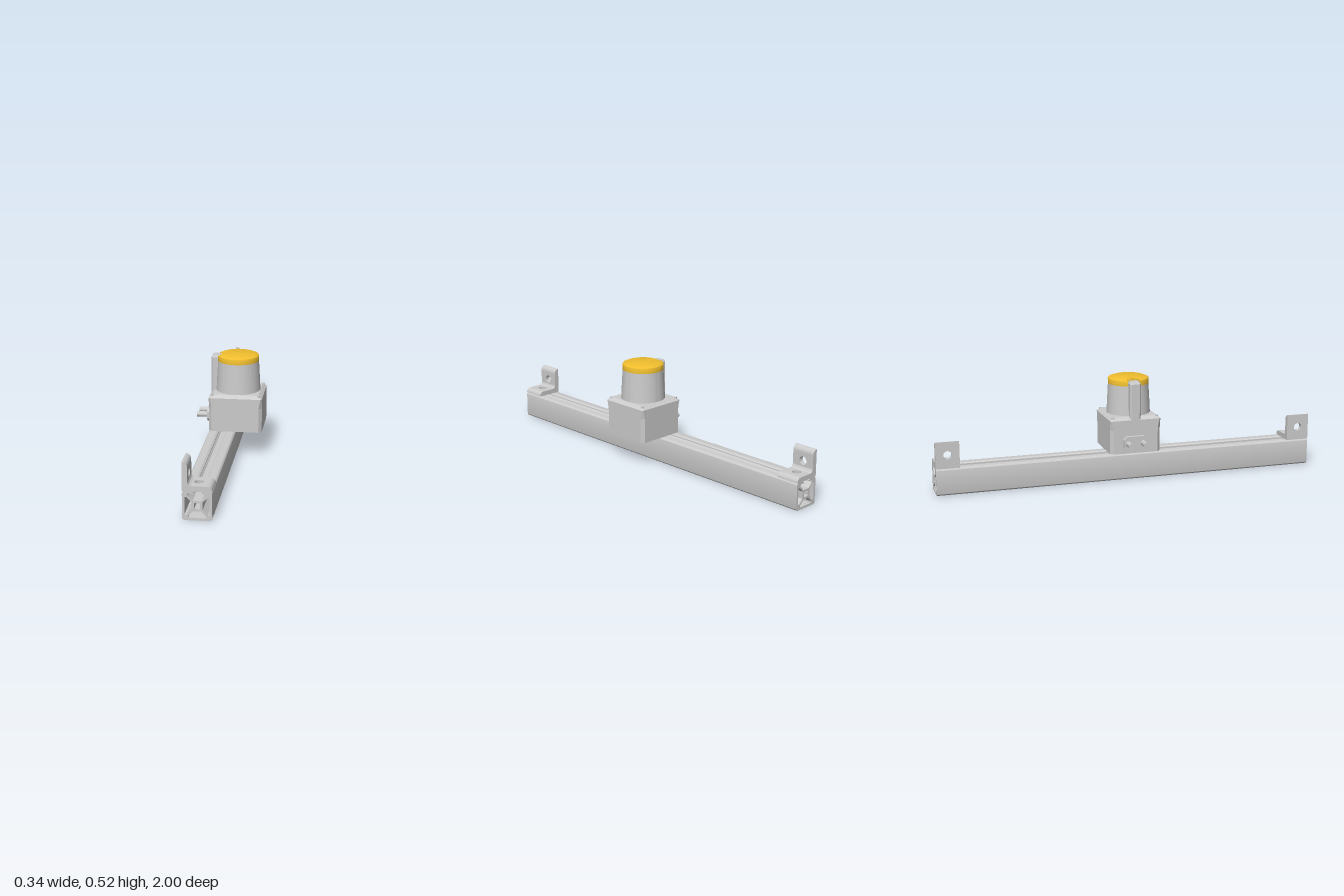
import * as THREE from 'three';
import { toCreasedNormals } from 'three/addons/utils/BufferGeometryUtils.js';

const grey = new THREE.MeshStandardMaterial({ color: 0xcccccc });
const yellow = new THREE.MeshStandardMaterial({ color: 0xf0be2e });

function add(parent, name, geometry, x = 0, y = 0, z = 0, material = grey) {
  const mesh = new THREE.Mesh(geometry, material);
  mesh.name = name;
  mesh.position.set(x, y, z);
  parent.add(mesh);
  return mesh;
}

const polygon = (pts) => new THREE.Shape(pts.map(([x, y]) => new THREE.Vector2(x, y)));

const extrude = (shape, depth, curveSegments = 12) =>
  toCreasedNormals(new THREE.ExtrudeGeometry(shape, { depth, bevelEnabled: false, curveSegments }), 0.5);

// Closed solid through horizontal chamfered rectangles: [y, x0, x1, z0, z1, chamfer]
function loft(rings) {
  const pos = [], idx = [], n = 8, last = (rings.length - 1) * n;
  for (const [y, x0, x1, z0, z1, c] of rings) {
    const pts = [[x1, z0 + c], [x1, z1 - c], [x1 - c, z1], [x0 + c, z1],
      [x0, z1 - c], [x0, z0 + c], [x0 + c, z0], [x1 - c, z0]];
    for (const [x, z] of pts) pos.push(x, y, z);
  }
  for (let b = 0; b < last; b += n) {
    for (let j = 0; j < n; j++) {
      const k = (j + 1) % n;
      idx.push(b + j, b + n + j, b + k, b + k, b + n + j, b + n + k);
    }
  }
  for (let j = 1; j < n - 1; j++) {
    idx.push(0, j, j + 1, last, last + j + 1, last + j);
  }
  const g = new THREE.BufferGeometry();
  g.setAttribute('position', new THREE.Float32BufferAttribute(pos, 3));
  g.setIndex(idx);
  const flat = g.toNonIndexed();
  flat.computeVertexNormals();
  return flat;
}

// Hollow rail section, open T-slot on top, closed on the other sides
function railGeometry() {
  const h = 0.0685, r = 0.012;
  const s = new THREE.Shape();
  s.moveTo(-h + r, -h);
  s.lineTo(h - r, -h);
  s.absarc(h - r, -h + r, r, -Math.PI / 2, 0);
  s.absarc(h - r, h - r, r, 0, Math.PI / 2);
  const slot = [[0.028, h], [0.018, 0.063], [0.018, 0.058], [0.042, 0.058], [0.042, 0.047], [0.02, 0.024]];
  slot.forEach(([x, y]) => s.lineTo(x, y));
  slot.slice().reverse().forEach(([x, y]) => s.lineTo(-x, y));
  s.absarc(-h + r, h - r, r, Math.PI / 2, Math.PI);
  s.absarc(-h + r, -h + r, r, Math.PI, Math.PI * 1.5);

  // Side and bottom chambers
  const chamber = [[-0.041, -0.057], [0.041, -0.057], [0.041, -0.048], [0.018, -0.025], [-0.018, -0.025], [-0.041, -0.048]];
  for (const a of [0, Math.PI / 2, -Math.PI / 2]) {
    const c = Math.cos(a), n = Math.sin(a);
    s.holes.push(polygon(chamber.map(([x, y]) => [x * c - y * n, x * n + y * c])));
  }
  // Four-lobed core hole
  const core = [];
  for (let i = 0; i < 32; i++) {
    const a = i * Math.PI / 16, rad = 0.0155 + 0.0025 * Math.cos(4 * a + Math.PI);
    core.push([rad * Math.cos(a), rad * Math.sin(a)]);
  }
  s.holes.push(polygon(core));
  return extrude(s, 2);
}

// Angle bracket: two identical drilled legs joined by a filleted corner
function makeBracket() {
  const group = new THREE.Group();
  group.name = 'angleBracket';
  const t = 0.025, w = 0.12, f = 0.043, e = 0.112, len = 0.137;

  const corner = polygon([[0, 0], [f, 0], [f, t]]);
  corner.absarc(f, f, f - t, -Math.PI / 2, -Math.PI, true);
  corner.lineTo(0, f);
  add(group, 'bracketCorner', extrude(corner, w), 0, 0, -w / 2);

  const plate = polygon([[f, -w / 2], [e, -w / 2], [e, w / 2], [f, w / 2]]);
  const hole = new THREE.Path();
  hole.absarc(0.069, 0, 0.021, 0, Math.PI * 2, true);
  plate.holes.push(hole);
  const plateGeometry = extrude(plate, t).rotateX(-Math.PI / 2);

  const end = polygon([[e, 0], [len, 0]]);
  end.absarc(e, 0, t, 0, Math.PI / 2);
  const endGeometry = extrude(end, w).translate(0, 0, -w / 2);

  for (const name of ['bracketFoot', 'bracketUpright']) {
    const leg = new THREE.Group();
    leg.name = name;
    add(leg, 'drilledPlate', plateGeometry);
    add(leg, 'roundedEnd', endGeometry);
    // Half turn about the diagonal swaps x and y
    if (name === 'bracketUpright') {
      leg.quaternion.setFromAxisAngle(new THREE.Vector3(1, 1, 0).normalize(), Math.PI);
    }
    group.add(leg);
  }
  return group;
}

function makeScanner() {
  const group = new THREE.Group();
  group.name = 'scanner';
  const cx = 0.037, cz = 0.032;
  const x0 = -0.1, x1 = 0.171, z0 = -0.103, z1 = 0.166;
  const inset = (y, d, c) => [y, x0 + d, x1 - d, z0 + d, z1 - d, c];

  // Square housing with corner reliefs that fade towards the top
  add(group, 'housing', loft([inset(0.139, 0, 0.016), inset(0.265, 0, 0.016),
    inset(0.314, 0, 0.006), inset(0.33, 0.018, 0.006)]));
  const screw = new THREE.CylinderGeometry(0.008, 0.008, 0.012, 16);
  for (const x of [x0 + 0.018, x1 - 0.018]) {
    for (const z of [z0 + 0.018, z1 - 0.018]) add(group, 'cornerScrew', screw, x, 0.324, z);
  }

  // Tapered optical window
  const v = (x, y) => new THREE.Vector2(x, y);
  const windowProfile = [v(0, 0.325), v(0.114, 0.325), v(0.113, 0.34), v(0.11, 0.4), v(0.107, 0.45), v(0.1055, 0.486), v(0, 0.486)];
  add(group, 'opticalWindow', toCreasedNormals(new THREE.LatheGeometry(windowProfile, 72), 0.6), cx, 0, cz);

  // Cap, notched where the cable post meets it
  const cap = new THREE.LatheGeometry([v(0, 0.484), v(0.083, 0.484), v(0.106, 0.484), v(0.106, 0.508),
    v(0.104, 0.512), v(0.095, 0.516), v(0.083, 0.52), v(0, 0.52)], 120);
  const p = cap.attributes.position;
  for (let i = 0; i < p.count; i++) {
    if (p.getX(i) < -0.083 && Math.abs(p.getZ(i)) < 0.03) p.setX(i, -0.083);
  }
  add(group, 'cap', toCreasedNormals(cap, 0.5), cx, 0, cz, yellow);

  // Cable post up the side of the window
  add(group, 'cablePost', loft([[0.31, -0.1, -0.046, 0.002, 0.06, 0.008],
    [0.5, -0.1, -0.046, 0.002, 0.06, 0.008], [0.511, -0.092, -0.046, 0.008, 0.054, 0.006]]));

  // Connector flange with two cable stubs
  const a = 0.062, b = 0.035, c = 0.017;
  const flange = polygon([[-a + c, -b], [a - c, -b], [a, -b + c], [a, b - c], [a - c, b], [-a + c, b], [-a, b - c], [-a, -b + c]]);
  add(group, 'connectorFlange', extrude(flange, 0.022).rotateY(-Math.PI / 2), -0.097, 0.197, 0.026);
  const stub = new THREE.CylinderGeometry(0.014, 0.014, 0.064, 24).rotateZ(Math.PI / 2);
  for (const z of [-0.014, 0.066]) add(group, 'cableStub', stub, -0.141, 0.196, z);
  return group;
}

export function createModel() {
  const model = new THREE.Group();
  model.name = 'railMountedScanner';
  add(model, 'rail', railGeometry(), -0.0315, 0.0695, -1).scale.y = 0.139 / 0.137;
  for (const side of [1, -1]) {
    const bracket = makeBracket();
    bracket.position.set(-0.1, 0.139, side * 0.94);
    model.add(bracket);
  }
  model.add(makeScanner());
  return model;
}
